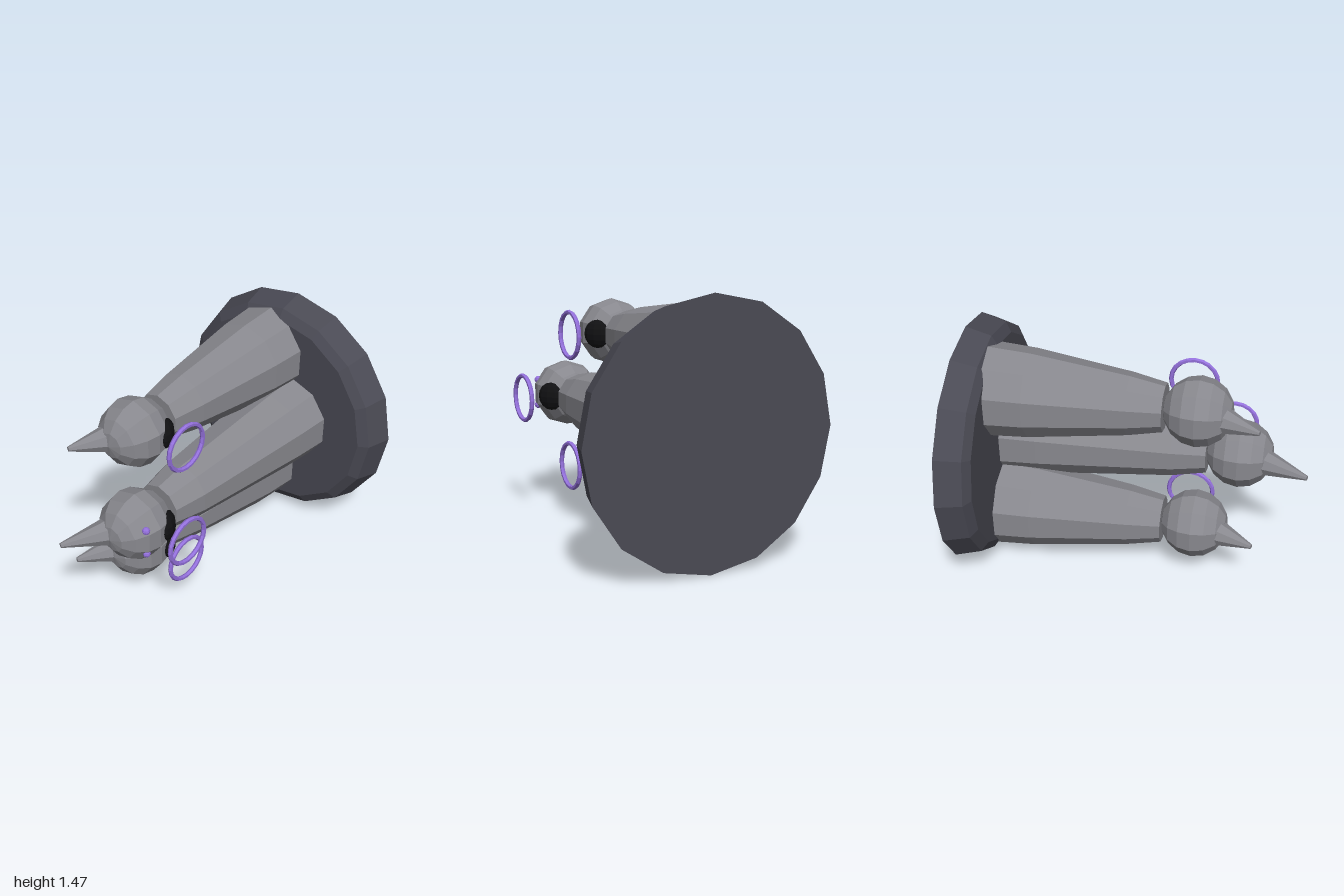
import * as THREE from 'three';

const mat = (color) => new THREE.MeshStandardMaterial({ color, flatShading: true });

export function createModel() {
  const root = new THREE.Group();
  const stone = mat(0x88888e), dark = mat(0x4a4a54), black = mat(0x111113), purple = mat(0x9370db);

  const add = (parent, name, geometry, material, x = 0, y = 0, z = 0) => {
    const mesh = new THREE.Mesh(geometry, material);
    mesh.name = name;
    mesh.position.set(x, y, z);
    parent.add(mesh);
    return mesh;
  };
  // Turned shape along z from [radius, z] pairs
  const turned = (pairs, sides) =>
    new THREE.LatheGeometry(pairs.map(([r, z]) => new THREE.Vector2(r, z)), sides).rotateX(Math.PI / 2);

  // Bevelled round base plate
  add(root, 'base', turned([[0, -1], [0.737, -1], [0.695, -0.85], [0.637, -0.815], [0, -0.815]], 16), dark, 0, 0.74, 0);

  // One bird: position of the head, beak length from the head centre, and whether it has eye gems
  const bird = (name, x, y, z, reach, gems) => {
    const g = new THREE.Group();
    g.name = name;
    g.position.set(x, y, z);
    root.add(g);

    // Tapering neck from the base up into the head
    const back = -0.85 - z;
    add(g, 'neck', turned([[0, back], [0.273, back], [0.257, -0.6 - z], [0.18, -0.39],
      [0.14, -0.19], [0, -0.19]], 10), stone);

    // Faceted head with its poles along z
    add(g, 'head', new THREE.SphereGeometry(0.202, 10, 8).rotateY(Math.PI / 2).rotateX(Math.PI / 2), stone);

    // Blunt beak, turned towards -x
    const beak = add(g, 'beak', turned([[0, 0.15], [0.083, 0.15], [0.014, reach], [0, reach]], 8), stone);
    beak.rotation.y = -0.40;

    // Dark patch at the back of the head
    const patch = add(g, 'darkPatch', new THREE.SphereGeometry(1, 10, 8), black, 0.143, 0, -0.1);
    patch.scale.set(0.05, 0.086, 0.086);
    patch.rotation.y = 0.61;

    // Floating ring beside the head
    add(g, 'halo', new THREE.TorusGeometry(0.137, 0.014, 6, 20).rotateY(Math.PI / 2), purple, 0.315, 0, -0.075);

    if (gems) {
      for (const s of [-1, 1]) {
        add(g, 'eyeGem', new THREE.SphereGeometry(0.023, 8, 6), purple, 0.157, s * 0.08, 0.08);
      }
    }
  };

  bird('upperBird', -0.085, 1.14, 0.36, 0.39, false);
  bird('middleBird', 0.125, 0.74, 0.588, 0.44, true);
  bird('lowerBird', -0.085, 0.34, 0.36, 0.39, false);
  return root;
}
